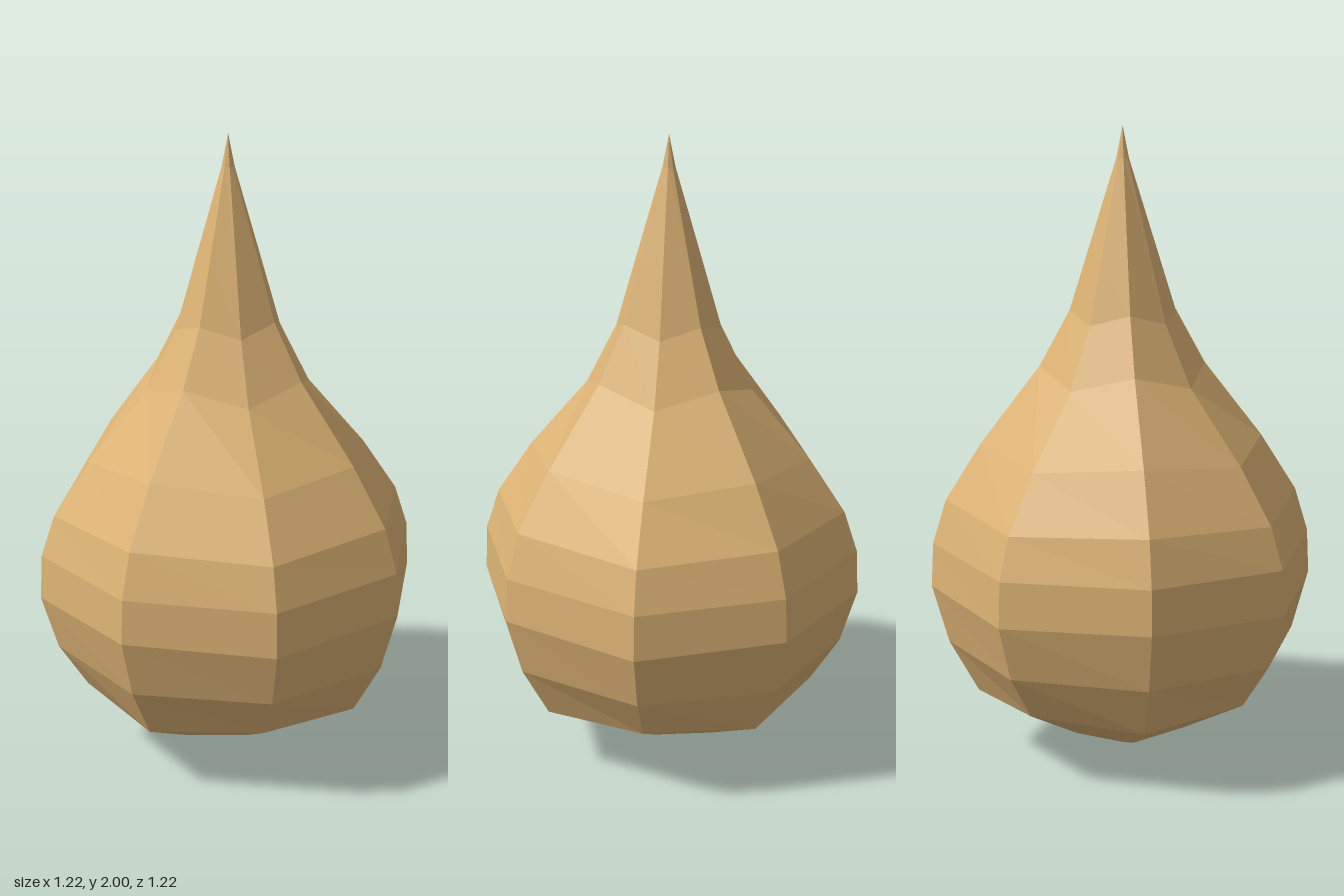
import * as THREE from 'three';

// Profile rings: radius, height on the axis ribs, height on the diagonal ribs
const RINGS = [
  [0, 0, 0],
  [0.24, 0.09, 0.105],
  [0.468, 0.205, 0.23],
  [0.56, 0.373, 0.373],
  [0.612, 0.56, 0.547],
  [0.605, 0.70, 0.69],
  [0.562, 0.84, 0.82],
  [0.448, 1.02, 0.99],
  [0.262, 1.26, 1.21],
  [0.166, 1.435, 1.40],
  [0.108, 1.62, 1.60],
  [0.02, 1.90, 1.90],
  [0, 2, 2],
];

export function createModel() {
  const group = new THREE.Group();
  group.name = 'teardrop';

  // Eight-sided drop turned from the profile
  const points = RINGS.map(([r, y]) => new THREE.Vector2(r, y));
  const geometry = new THREE.LatheGeometry(points, 8);

  // Shift every second rib to its own heights
  const position = geometry.attributes.position;
  for (let i = 0; i < position.count; i++) {
    const rib = Math.floor(i / RINGS.length);
    if (rib % 2 === 1) position.setY(i, RINGS[i % RINGS.length][2]);
  }
  geometry.computeVertexNormals();

  const material = new THREE.MeshStandardMaterial({ color: 0xdcb274, flatShading: true });
  const body = new THREE.Mesh(geometry, material);
  body.name = 'dropBody';
  group.add(body);
  return group;
}
